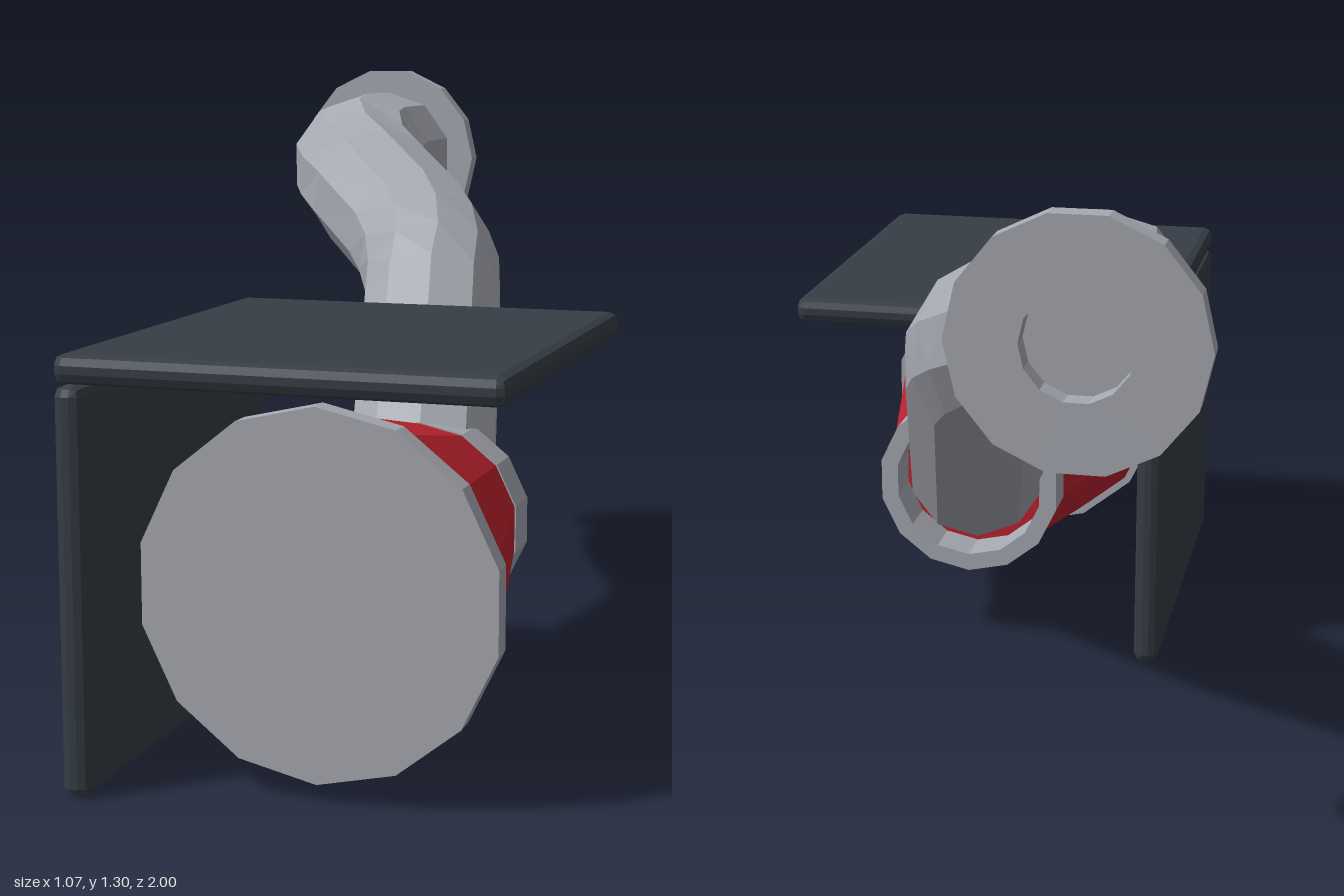
import * as THREE from 'three';
import { RoundedBoxGeometry } from 'three/addons/geometries/RoundedBoxGeometry.js';

const material = (name, color) => {
  const m = new THREE.MeshStandardMaterial({ color });
  m.name = name;
  return m;
};

// Hard facets for the low-poly look
function faceted(geometry) {
  const g = geometry.index ? geometry.toNonIndexed() : geometry;
  g.computeVertexNormals();
  return g;
}

// Turned part along the z axis; profile is [radius, z] pairs
function turned(profile, sides, spin = 0) {
  const g = new THREE.LatheGeometry(profile.map(([r, z]) => new THREE.Vector2(r, z)), sides);
  return faceted(g.rotateX(Math.PI / 2).rotateZ(spin));
}

// Corner points joined by straights, each inner corner rounded in two steps
function roundedPath(corners, reach) {
  const path = [corners[0]];
  for (let i = 1; i < corners.length - 1; i++) {
    const c = corners[i];
    const toward = (p) => c.clone().add(p.clone().sub(c).setLength(reach));
    const bend = new THREE.QuadraticBezierCurve3(toward(corners[i - 1]), c, toward(corners[i + 1]));
    path.push(...bend.getPoints(3));
  }
  path.push(corners[corners.length - 1]);
  return path;
}

// Capped polygon tube with one vertex kept upward
function pipeGeometry(path, sides, radiusAt) {
  const positions = [], index = [];
  const n = path.length;
  path.forEach((p, i) => {
    const before = path[Math.max(i - 1, 0)], after = path[Math.min(i + 1, n - 1)];
    const t = after.clone().sub(before).normalize();
    const side = new THREE.Vector3().crossVectors(t, new THREE.Vector3(0, 1, 0)).normalize();
    const up = new THREE.Vector3().crossVectors(side, t);
    const r = radiusAt(i / (n - 1));
    for (let j = 0; j < sides; j++) {
      const a = (j / sides) * Math.PI * 2;
      const v = p.clone().addScaledVector(up, r * Math.cos(a)).addScaledVector(side, r * Math.sin(a));
      positions.push(v.x, v.y, v.z);
    }
  });
  for (let i = 0; i < n - 1; i++) {
    for (let j = 0; j < sides; j++) {
      const k = (j + 1) % sides;
      const a = i * sides + j, b = i * sides + k, c = a + sides, d = b + sides;
      index.push(a, b, c, b, d, c);
    }
  }
  const last = (n - 1) * sides;
  for (let j = 1; j < sides - 1; j++) {
    index.push(0, j + 1, j);
    index.push(last, last + j, last + j + 1);
  }
  const g = new THREE.BufferGeometry();
  g.setAttribute('position', new THREE.Float32BufferAttribute(positions, 3));
  g.setIndex(index);
  return faceted(g);
}

export function createModel() {
  const steel = material('steel grey', 0xa6a9b1);
  const red = material('red paint', 0xbe222e);
  const dark = material('dark slate', 0x363d45);
  const model = new THREE.Group();
  model.name = 'model';

  const add = (name, geometry, mat, x = 0, y = 0, z = 0) => {
    const mesh = new THREE.Mesh(geometry, mat);
    mesh.name = name;
    mesh.position.set(x, y, z);
    model.add(mesh);
  };

  // Chamfered panels
  const panel = (w, h) => faceted(new RoundedBoxGeometry(w, h, 0.915, 1, 0.02));
  add('topPanel', panel(0.84, 0.055), dark, 0.115, 0.7975, 0.5425);
  add('sidePanel', panel(0.055, 0.768), dark, -0.2775, 0.384, 0.5425);

  // Cone with its front disc and hollow rear collar
  const cx = 0.15, cy = 0.385;
  add('coneBody', turned([[0, 0.24], [0.209, 0.24], [0.333, 0.832], [0, 0.832]], 14), red, cx, cy);
  add('frontDisc', turned([[0, 0.83], [0.35, 0.83], [0.35, 0.877], [0, 0.877]], 14), steel, cx, cy);
  add('rearCollar', turned([[0.172, 0.24], [0.172, 0.145], [0.212, 0.145], [0.212, 0.24], [0.172, 0.24]], 14),
    steel, cx, cy);

  // Bent pipe
  const corners = [
    new THREE.Vector3(cx, cy, 0.24),
    new THREE.Vector3(0.014, 0.88, -0.326),
    new THREE.Vector3(-0.307, 1.076, -0.645),
    new THREE.Vector3(-0.307, 1.076, -0.957),
  ];
  add('bentPipe', pipeGeometry(roundedPath(corners, 0.14), 10, (t) => (t < 0.7 ? 0.16 : 0.17)), steel);

  // End flange with a shallow hole
  add('endFlange', turned(
    [[0.1, -0.955], [0.1, -1], [0.23, -1], [0.23, -0.955], [0.1, -0.955]], 14, Math.PI / 2),
    steel, -0.307, 1.077);

  return model;
}
